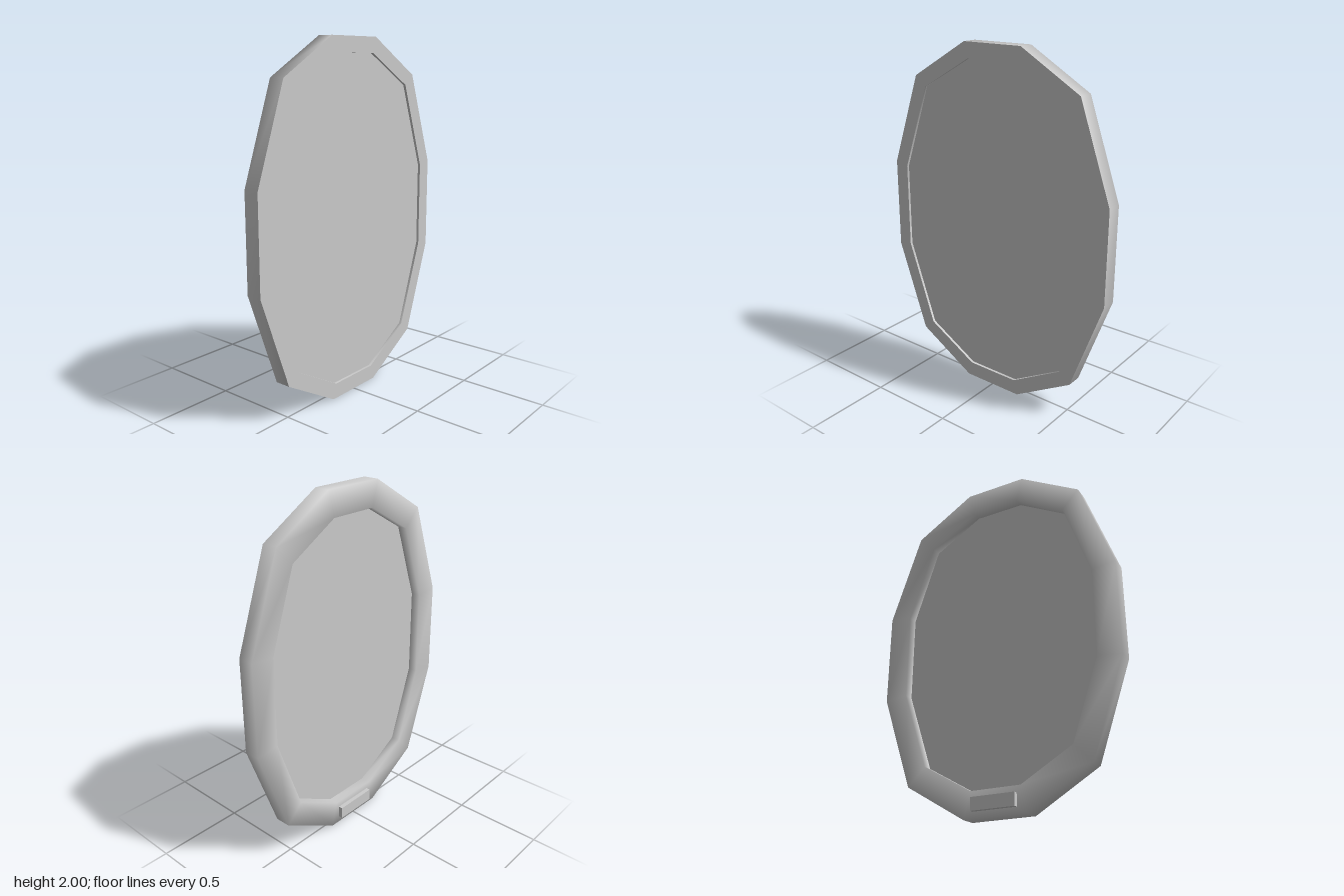
import * as THREE from 'three';

// Quarter outlines [z, y] measured from the centre; mirrored into 12-sided rings
const OUTER = [[0.184, 1], [0.542, 0.792], [0.73, 0.265]];
const FRONT_LIP = [[0.16, 0.913], [0.473, 0.735], [0.645, 0.247]];
const BACK_LIP = [[0.147, 0.856], [0.44, 0.69], [0.593, 0.25]];

// Ring of points at a given x, counter-clockwise seen from +x
function ring(quarter, x) {
  const half = [...quarter, ...quarter.map(([z, y]) => [z, -y]).reverse()];
  const full = [...half, ...half.map(([z, y]) => [-z, -y])];
  return full.map(([z, y]) => [x, y + 1, z]);
}

// Skin consecutive rings with shared (smooth) vertices
function skin(rings) {
  const n = rings[0].length;
  const index = [];
  for (let r = 0; r < rings.length - 1; r++) {
    for (let i = 0; i < n; i++) {
      const j = (i + 1) % n;
      const a = r * n + i, a2 = r * n + j, b = a + n, b2 = a2 + n;
      index.push(a, b, b2, a, b2, a2);
    }
  }
  return finish(rings.flat(), index);
}

// Flat fan filling a ring, facing +x or -x
function cap(points, facing) {
  const index = [];
  for (let i = 1; i < points.length - 1; i++) {
    if (facing > 0) index.push(0, i, i + 1);
    else index.push(0, i + 1, i);
  }
  return finish(points, index);
}

function finish(points, index) {
  const geometry = new THREE.BufferGeometry();
  geometry.setAttribute('position', new THREE.Float32BufferAttribute(points.flat(), 3));
  geometry.setIndex(index);
  geometry.computeVertexNormals();
  return geometry;
}

export function createModel() {
  const model = new THREE.Group();
  model.name = 'ovalPanel';
  const grey = new THREE.MeshStandardMaterial({ color: 0xcccccc });
  const add = (name, geometry) => {
    const mesh = new THREE.Mesh(geometry, grey);
    mesh.name = name;
    model.add(mesh);
    return mesh;
  };

  const frontX = 0.055, backX = -0.035, paneFrontX = 0.04, paneBackX = 0.02;

  // Frame: softly shaded outer wall, back face and back opening
  add('frameShell', skin([
    ring(OUTER, frontX), ring(OUTER, backX),
    ring(BACK_LIP, backX), ring(BACK_LIP, paneBackX),
  ]));

  // Frame: crisp front border and the shallow step down to the pane
  add('frameFrontBorder', skin([ring(FRONT_LIP, frontX), ring(OUTER, frontX)]));
  add('frameFrontStep', skin([ring(FRONT_LIP, paneFrontX), ring(FRONT_LIP, frontX)]));

  // Recessed pane, seen from both sides
  add('paneFront', cap(ring(FRONT_LIP, paneFrontX), 1));
  add('paneBack', cap(ring(BACK_LIP, paneBackX), -1));

  // Small plate at the foot of the back face
  add('backPlate', new THREE.BoxGeometry(0.025, 0.07, 0.255))
    .position.set(-0.0475, 0.072, -0.002);

  return model;
}
